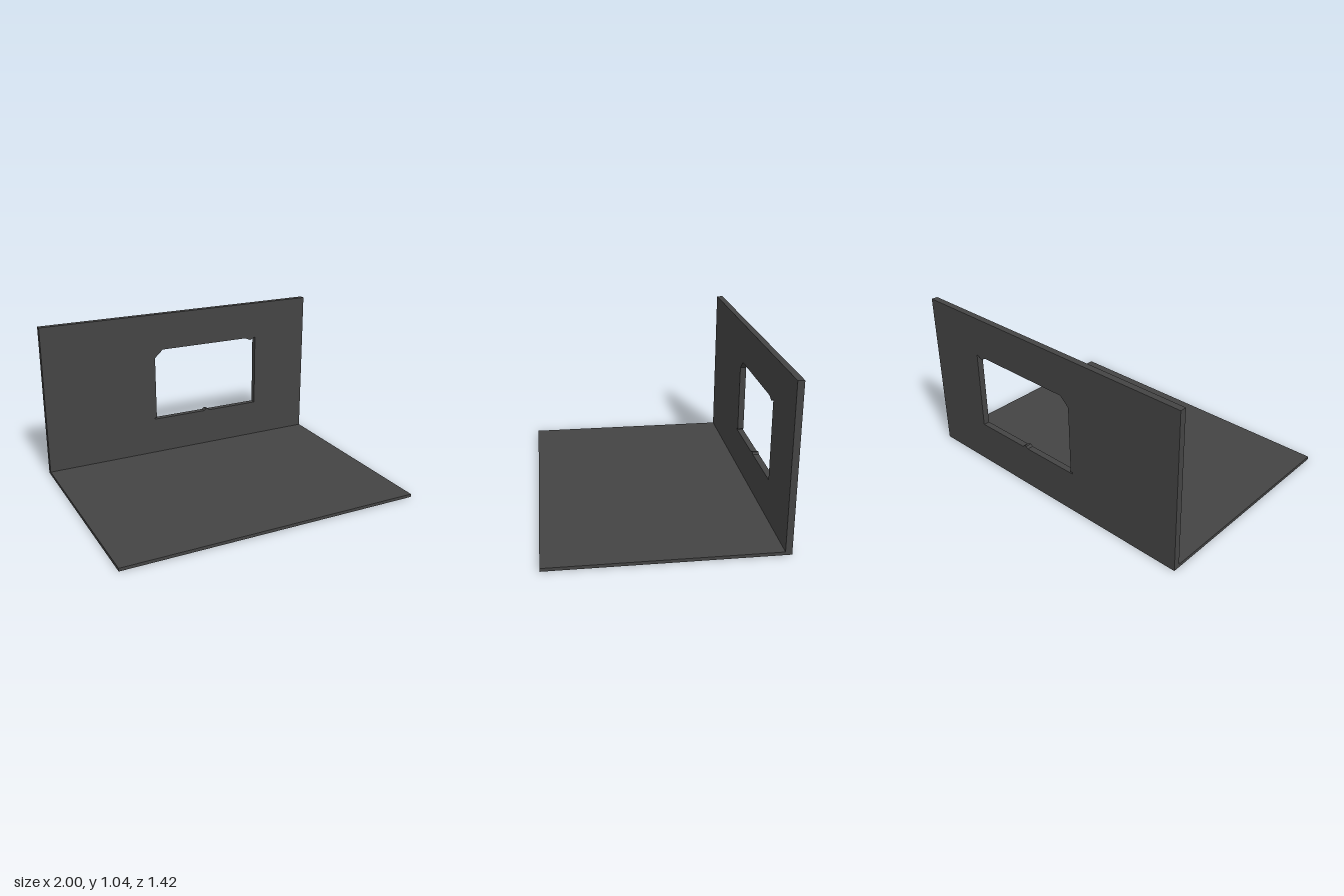
import * as THREE from 'three';

const WIDTH = 2, HEIGHT = 1.04, BACK = -0.71, FRONT = 0.71;
const WALL = 0.04, FLOOR = 0.02;

const outline = (points) => points.map(([x, y]) => new THREE.Vector2(x, y));

export function createModel() {
  const group = new THREE.Group();
  const material = new THREE.MeshStandardMaterial({ color: 0x444444 });

  // Thin floor slab in front of the wall
  const depth = FRONT - BACK - WALL;
  const floor = new THREE.Mesh(new THREE.BoxGeometry(WIDTH, FLOOR, depth), material);
  floor.name = 'floor';
  floor.position.set(0, FLOOR / 2, FRONT - depth / 2);
  group.add(floor);

  // Back wall with a ragged window opening
  const shape = new THREE.Shape(outline([[-1, 0], [1, 0], [1, HEIGHT], [-1, HEIGHT]]));
  shape.holes.push(new THREE.Path(outline([
    [-0.22, 0.275], [-0.22, 0.285], [-0.205, 0.285], // nick in the lower corner
    [-0.205, 0.73], [-0.145, 0.785],                 // bevelled upper corner
    [0.51, 0.785], [0.55, 0.767], [0.59, 0.785],     // chipped upper corner
    [0.59, 0.275],
    [0.215, 0.275], [0.2, 0.287], [0.185, 0.287], [0.17, 0.275], // bump on the sill
  ])));
  const wall = new THREE.Mesh(
    new THREE.ExtrudeGeometry(shape, { depth: WALL, bevelEnabled: false }), material);
  wall.name = 'windowWall';
  wall.position.z = BACK;
  group.add(wall);

  return group;
}
